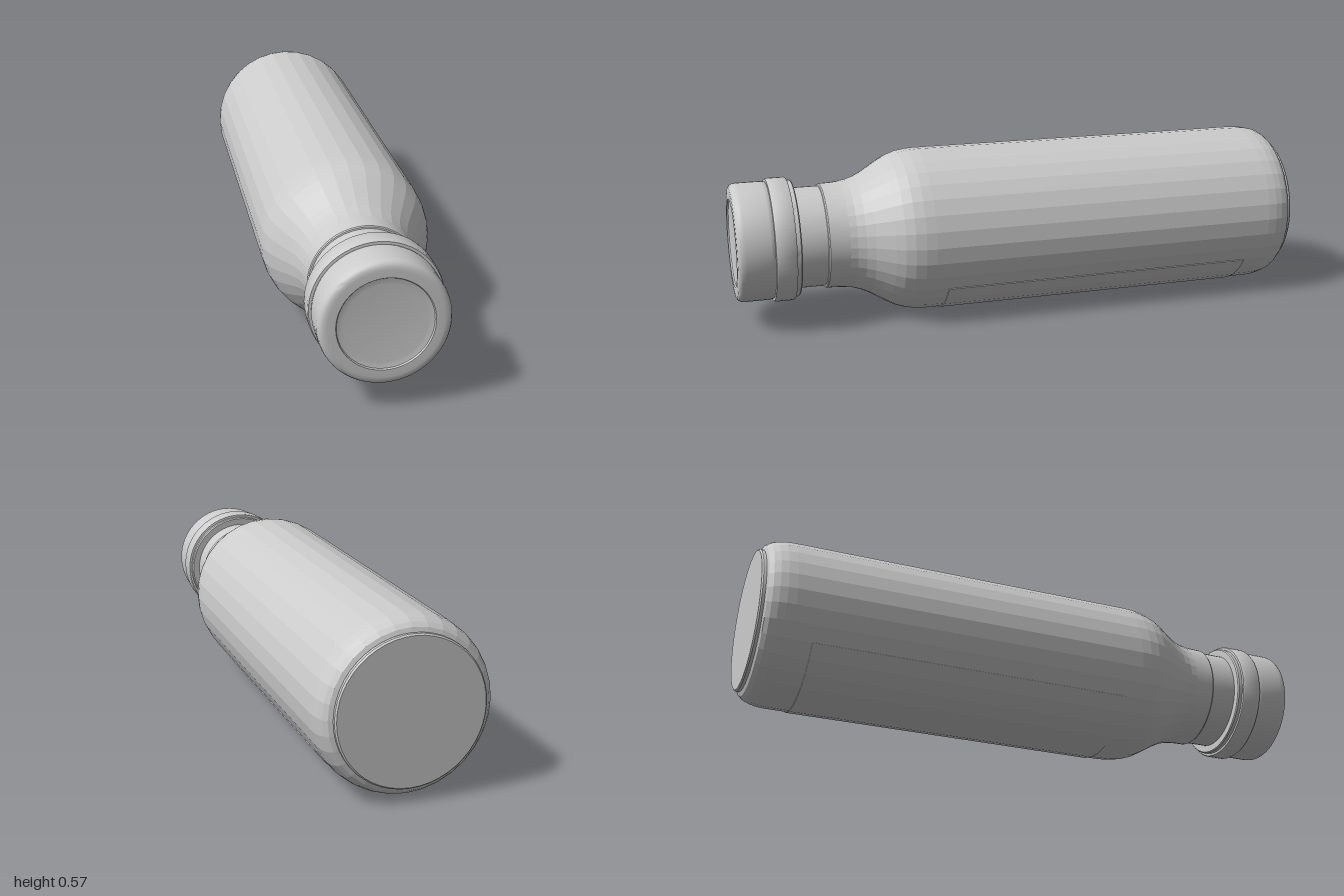
import * as THREE from 'three';
import { toCreasedNormals } from 'three/addons/utils/BufferGeometryUtils.js';

const SIDES = 32;
const AXIS_Y = 0.288;

// Turns a [radius, z] profile (back to front) around the z axis.
function turned(name, profile, segments, flatShading) {
  const points = profile.map(([r, z]) => new THREE.Vector2(r, z));
  let geometry = new THREE.LatheGeometry(points, segments).rotateX(Math.PI / 2);
  if (!flatShading) geometry = toCreasedNormals(geometry, 0.6);
  const mesh = new THREE.Mesh(geometry, new THREE.MeshStandardMaterial({ color: 0xcccccc, flatShading }));
  mesh.name = name;
  return mesh;
}

// Thin curved panel wrapped around the underside of the body.
function labelPanel() {
  const inner = 0.282, outer = 0.288, half = 5, step = (2 * Math.PI) / SIDES;
  const at = (r, i) => new THREE.Vector2(r * Math.sin(i * step), -r * Math.cos(i * step));
  const outline = [];
  for (let i = -half; i <= half; i++) outline.push(at(outer, i));
  for (let i = half; i >= -half; i--) outline.push(at(inner, i));
  const geometry = new THREE.ExtrudeGeometry(new THREE.Shape(outline), { depth: 1.12, bevelEnabled: false });
  geometry.translate(0, 0, -0.82);
  const mesh = new THREE.Mesh(geometry, new THREE.MeshStandardMaterial({ color: 0xcccccc, flatShading: true }));
  mesh.name = 'label';
  return mesh;
}

export function createModel() {
  const bottle = new THREE.Group();
  bottle.name = 'bottle';

  // Body with rounded base and sloping shoulder
  bottle.add(turned('body', [
    [0, -0.985], [0.245, -0.985], [0.258, -0.98], [0.27, -0.966], [0.278, -0.945], [0.283, -0.92], [0.285, -0.89],
    [0.285, 0.35], [0.283, 0.385], [0.277, 0.42], [0.266, 0.452], [0.25, 0.482], [0.231, 0.513],
    [0.213, 0.543], [0.199, 0.572], [0.19, 0.6], [0.186, 0.625],
  ], SIDES, true));

  // Base disc
  bottle.add(turned('base', [[0, -1], [0.238, -1], [0.243, -0.995], [0.243, -0.98]], 48, false));

  // Stepped neck
  bottle.add(turned('neck', [
    [0.186, 0.62], [0.183, 0.65], [0.182, 0.692], [0.179, 0.696], [0.174, 0.697], [0.174, 0.81],
  ], 48, false));

  // Collar below the cap
  bottle.add(turned('collar', [
    [0.17, 0.788], [0.198, 0.788], [0.202, 0.792], [0.202, 0.805], [0.21, 0.806], [0.213, 0.811],
    [0.213, 0.868], [0.21, 0.875], [0.198, 0.876],
  ], 64, false));

  // Cap with rounded rim and a shallow dished top
  bottle.add(turned('cap', [
    [0.198, 0.872], [0.202, 0.878], [0.204, 0.89], [0.204, 0.972], [0.202, 0.985], [0.197, 0.994],
    [0.188, 0.999], [0.176, 1], [0.151, 1], [0.148, 0.995], [0.138, 0.993], [0.127, 0.992], [0, 0.992],
  ], 64, false));

  bottle.add(labelPanel());
  for (const part of bottle.children) part.position.y = AXIS_Y;
  return bottle;
}
